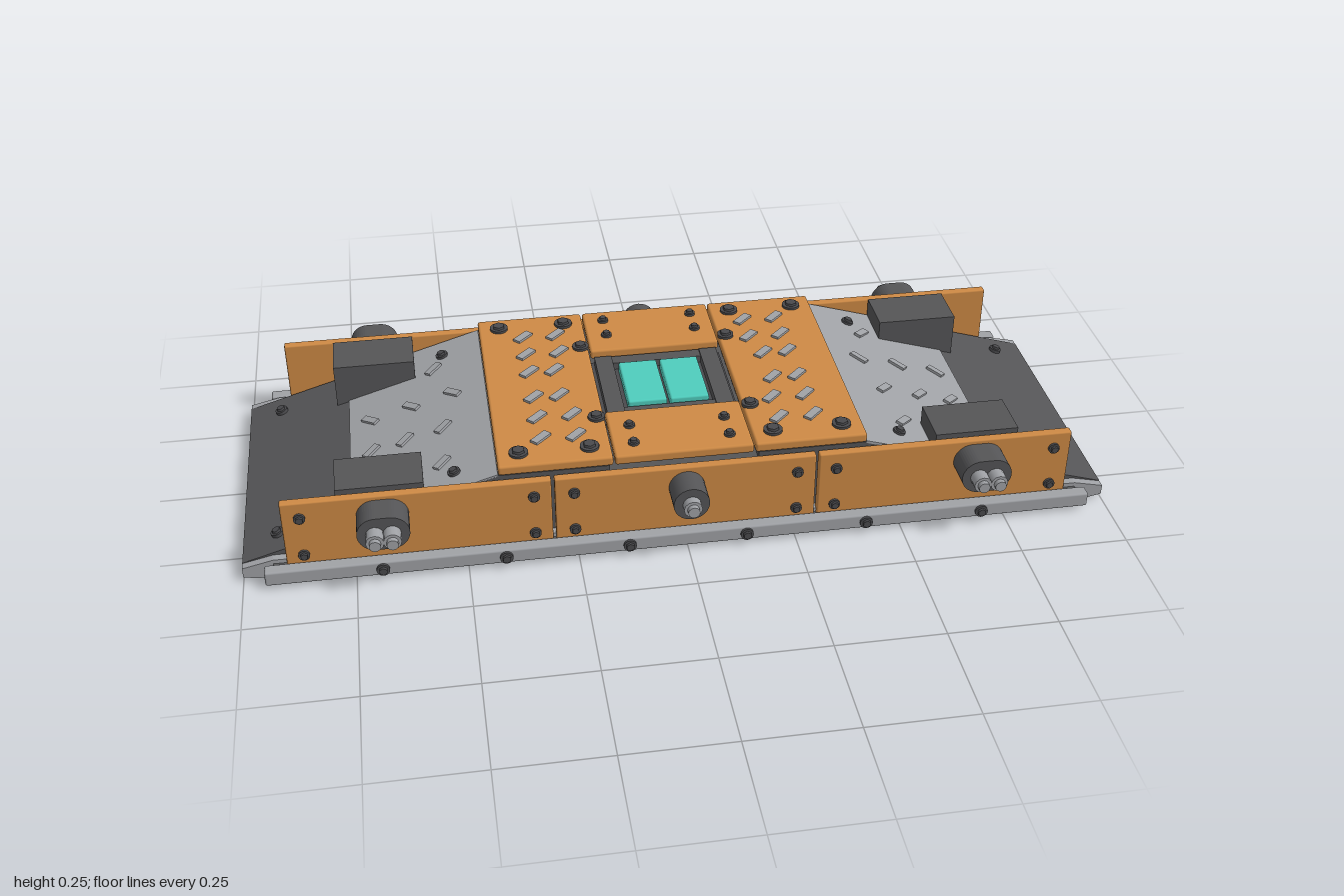
import * as THREE from 'three';
import { RoundedBoxGeometry } from 'three/addons/geometries/RoundedBoxGeometry.js';

const mat = (name, color) => {
  const m = new THREE.MeshStandardMaterial({ color });
  m.name = name;
  return m;
};

export function createModel() {
  const root = new THREE.Group();
  root.name = 'rampPlatform';
  const orange = mat('orange paint', 0xce8a45);
  const steel = mat('light steel', 0xa0a2a6);
  const dark = mat('dark grey', 0x555557);
  const boltDark = mat('bolt grey', 0x4a4a4d);
  const teal = mat('teal glow', 0x4fcdbd);

  const add = (name, geo, m, x = 0, y = 0, z = 0, parent = root) => {
    const mesh = new THREE.Mesh(geo, m);
    mesh.name = name;
    mesh.position.set(x, y, z);
    parent.add(mesh);
    return mesh;
  };
  // box given by its limits on each axis, with optional rounded edges
  const block = (name, m, [x0, x1], [y0, y1], [z0, z1], r = 0) => {
    const s = [x1 - x0, y1 - y0, z1 - z0];
    const geo = r ? new RoundedBoxGeometry(...s, 2, r) : new THREE.BoxGeometry(...s);
    return add(name, geo, m, (x0 + x1) / 2, (y0 + y1) / 2, (z0 + z1) / 2);
  };
  const span = (s, a, b) => (s > 0 ? [a, b] : [-b, -a]);
  const prism = (name, m, pts, z0, z1) => {
    const geo = new THREE.ExtrudeGeometry(new THREE.Shape(pts.map(p => new THREE.Vector2(...p))),
      { depth: z1 - z0, bevelEnabled: false });
    return add(name, geo, m, 0, 0, z0);
  };
  // hexagonal bolt with a washer, axis up or along z
  const bolt = (name, x, y, z, r, axis = 'y', m = boltDark) => {
    const g = new THREE.Group();
    g.name = name;
    add('washer', new THREE.CylinderGeometry(r, r, 0.008, 16), m, 0, 0.002, 0, g);
    add('boltHead', new THREE.CylinderGeometry(r * 0.65, r * 0.7, 0.008, 6), m, 0, 0.008, 0, g);
    g.position.set(x, y, z);
    if (axis === 'z') g.rotation.x = Math.sign(z) * Math.PI / 2;
    root.add(g);
    return g;
  };

  // wedge-ended body
  prism('body', dark, [[-1, 0.004], [-0.99, 0], [0.99, 0], [1, 0.004], [1, 0.035], [0.42, 0.21],
    [0.17, 0.21], [0.17, 0.19], [-0.17, 0.19], [-0.17, 0.21], [-0.42, 0.21], [-1, 0.035]], -0.313, 0.313);

  const slope = Math.atan2(0.175, 0.58);
  const rampY = x => 0.035 + (1 - Math.abs(x)) * 0.175 / 0.58;
  for (const s of [-1, 1]) {
    // ramp facing, end bolts and raised treads
    const mid = 0.585, len = 0.33 / Math.cos(slope);
    add('rampPlate', new THREE.BoxGeometry(len, 0.006, 0.626), steel, s * mid, rampY(mid), 0)
      .rotation.z = -s * slope;
    for (const z of [-0.25, 0.25]) for (const x of [0.515, 0.92])
      bolt('rampBolt', s * x, rampY(x) + 0.003, z, 0.015).rotation.z = -s * slope;
    const treads = [[0.5, -0.07], [0.54, -0.2], [0.6, -0.07], [0.7, -0.07],
      [0.53, 0.06], [0.62, 0.06], [0.7, 0.06], [0.54, 0.2]];
    for (const [x, z] of treads) {
      const g = new THREE.Group();
      g.name = 'rampTread';
      g.position.set(s * x, rampY(x) + 0.005, z);
      g.rotation.z = -s * slope;
      add('treadBar', new THREE.BoxGeometry(0.045, 0.009, 0.018), steel, 0, 0, 0, g)
        .rotation.y = (z === -0.07 ? -1 : 1) * Math.PI / 4;
      root.add(g);
    }
    // blocks standing on the ramps
    for (const t of [-1, 1])
      block('rampBlock', dark, span(s, 0.585, 0.78), [0.06, 0.21], span(t, 0.193, 0.312));
  }

  for (const t of [-1, 1]) {
    // skirt and lower rail
    const z = span(t, 0.312, 0.332);
    prism('skirt', steel, [[-1, 0.01], [-0.97, 0.004], [0.97, 0.004], [1, 0.01], [1, 0.034],
      [0.93, 0.05], [-0.93, 0.05], [-1, 0.034]], ...z);
    block('lowerRail', steel, [-0.95, 0.95], [0.01, 0.046], span(t, 0.342, 0.373), 0.005);
    block('railSpacer', dark, [-0.93, 0.93], [0.015, 0.04], span(t, 0.33, 0.344));
    for (const x of [-0.69, -0.415, -0.135, 0.135, 0.415, 0.69])
      bolt('railBolt', x, 0.028, t * 0.373, 0.015, 'z');

    // side panels
    for (const [x0, x1] of [[-0.9, -0.305], [-0.298, 0.298], [0.305, 0.9]])
      block('sidePanel', orange, [x0, x1], [0.035, 0.205], span(t, 0.32, 0.341), 0.004);
    for (const x of [-0.86, -0.345, -0.255, 0.255, 0.345, 0.86])
      for (const y of [0.065, 0.165]) bolt('panelBolt', x, y, t * 0.341, 0.013, 'z');

    // oval twin-stud mounts at the ends
    for (const s of [-1, 1]) {
      const oval = new THREE.Shape();
      oval.absarc(0.016, 0, 0.042, -Math.PI / 2, Math.PI / 2);
      oval.absarc(-0.016, 0, 0.042, Math.PI / 2, Math.PI * 1.5);
      const geo = new THREE.ExtrudeGeometry(oval, { depth: 0.072, bevelEnabled: false, curveSegments: 12 });
      add('sideMount', geo, dark, s * 0.68, 0.153, t > 0 ? 0.338 : -0.41);
      for (const dx of [-0.019, 0.019]) {
        stud(s * 0.68 + dx, 0.02, 0.032, 0.012);
      }
    }
    // round mount in the middle
    add('centreMount', new THREE.CylinderGeometry(0.041, 0.041, 0.072, 24), dark, 0, 0.153, t * 0.374)
      .rotation.x = Math.PI / 2;
    stud(0, 0.021, 0.02, 0.012);

    function stud(x, r, l1, l2) {
      add('stud', new THREE.CylinderGeometry(r, r, l1, 12), steel, x, 0.153, t * (0.41 + l1 / 2))
        .rotation.x = Math.PI / 2;
      add('studTip', new THREE.CylinderGeometry(r * 0.65, r * 0.65, l2, 12), steel, x, 0.153,
        t * (0.41 + l1 + l2 / 2)).rotation.x = Math.PI / 2;
    }
  }

  // deck plates around the central opening
  const deck = [0.211, 0.235];
  for (const s of [-1, 1]) {
    block('deckPlate', orange, span(s, 0.162, 0.42), deck, [-0.317, 0.317], 0.006);
    block('centreDeckPlate', orange, [-0.158, 0.158], deck, span(s, 0.133, 0.317), 0.006);
    for (const z of [-0.22, -0.14, -0.06, 0.05, 0.135, 0.22]) for (const x of [0.235, 0.315])
      add('deckTread', new THREE.BoxGeometry(0.05, 0.008, 0.02), steel,
        s * x + (x > 0.3 ? 0 : s * 0.04 * (Math.abs(z) < 0.1 ? 0.5 : 0)), 0.237, z).rotation.y = Math.PI / 4;
    for (const t of [-1, 1]) {
      for (const [x, z, r] of [[0.37, 0.27, 0.022], [0.21, 0.27, 0.022], [0.18, 0.155, 0.02],
        [0.11, 0.27, 0.013], [0.11, 0.2, 0.013]])
        bolt('deckBolt', s * x, 0.235, t * z, r);
    }
  }

  // recessed frame with two glowing cells
  block('recessFloor', boltDark, [-0.16, 0.16], [0.188, 0.2], [-0.135, 0.135]);
  for (const s of [-1, 1]) {
    block('frameSide', dark, span(s, 0.108, 0.15), [0.195, 0.222], [-0.125, 0.125]);
    block('frameEnd', dark, [-0.108, 0.108], [0.195, 0.218], span(s, 0.097, 0.128));
    block('cell', teal, span(s, 0.004, 0.096), [0.198, 0.226], [-0.088, 0.088], 0.005);
  }
  return root;
}
